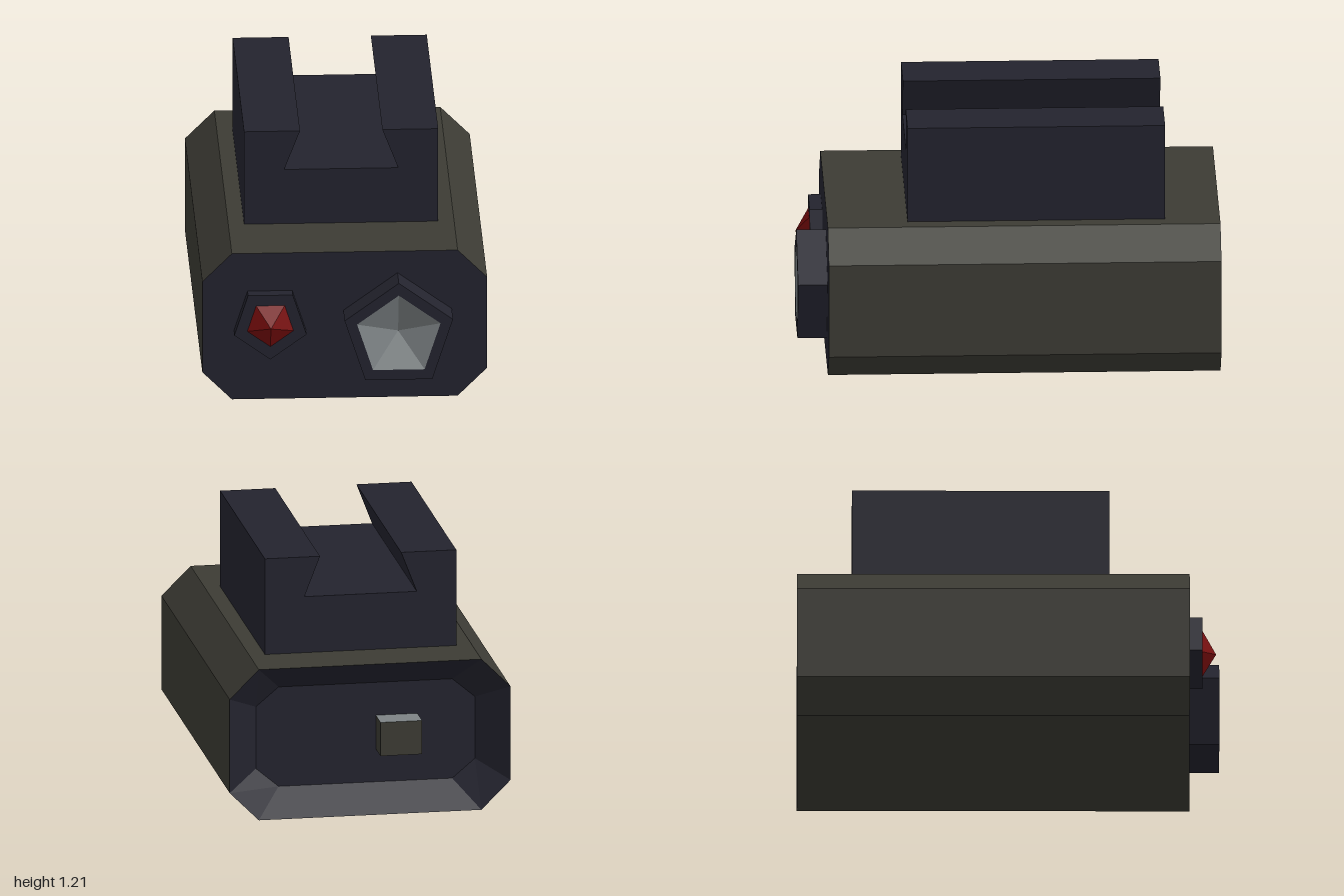
import * as THREE from 'three';

const mat = (name, color, side = THREE.FrontSide) =>
  new THREE.MeshStandardMaterial({ name, color, flatShading: true, side });

// Octagonal body outline, scaled about its middle, counter-clockwise from the front
const MID = 0.37;
const octagon = (sx = 1, sy = 1) =>
  [[0.675, 0.14], [0.675, 0.6], [0.535, 0.74], [-0.535, 0.74],
   [-0.675, 0.6], [-0.675, 0.14], [-0.535, 0], [0.535, 0]]
    .map(([x, y]) => new THREE.Vector2(x * sx, MID + (y - MID) * sy));

// Regular pentagon; dir = 1 points up, -1 points down
const pentagon = (r, dir) => Array.from({ length: 5 }, (_, i) => {
  const a = dir * Math.PI / 2 + i * Math.PI * 2 / 5;
  return new THREE.Vector2(Math.cos(a) * r, Math.sin(a) * r);
});

// Wall of quads between two matching outlines at two depths
function loft(a, za, b, zb) {
  const pos = [];
  a.forEach((p, i) => {
    const j = (i + 1) % a.length;
    const A = [p.x, p.y, za], B = [a[j].x, a[j].y, za];
    const C = [b[j].x, b[j].y, zb], D = [b[i].x, b[i].y, zb];
    pos.push(...A, ...B, ...C, ...A, ...C, ...D);
  });
  const g = new THREE.BufferGeometry();
  g.setAttribute('position', new THREE.Float32BufferAttribute(pos, 3));
  g.computeVertexNormals();
  return g;
}

// Straight extrusion along z from z0 to z1, with an optional hole
function prism(points, z0, z1, hole) {
  const s = new THREE.Shape(points);
  if (hole) s.holes.push(new THREE.Path(hole));
  return new THREE.ExtrudeGeometry(s, { depth: z1 - z0, bevelEnabled: false }).translate(0, 0, z0);
}

export function createModel() {
  const model = new THREE.Group();
  const olive = mat('olive casing', 0x3c3b34);
  const dark = mat('dark polymer', 0x23232e);
  const silver = mat('silver reflector', 0x7d8385, THREE.DoubleSide);
  const red = mat('red lens', 0x7a0d0d);
  const add = (name, geometry, material, parent = model) => {
    const m = new THREE.Mesh(geometry, material);
    m.name = name;
    parent.add(m);
    return m;
  };

  // Casing: olive shell, dark front plate, sloping recess at the back
  const outer = octagon(), inner = octagon(0.78, 0.66);
  const front = 0.86, back = -1, floor = -0.87;
  add('casingShell', loft(outer, back, outer, front), olive);
  add('frontPlate', new THREE.ShapeGeometry(new THREE.Shape(outer)).translate(0, 0, front), dark);
  add('rearRecessWall', loft(inner, floor, outer, back), dark);
  add('rearRecessFloor',
    new THREE.ShapeGeometry(new THREE.Shape(inner)).rotateY(Math.PI).translate(0, 0, floor), dark);

  // Mounting rail with a dovetail slot
  const half = [[0.46, 0.74], [0.46, 1.21], [0.195, 1.21], [0.27, 1.015]];
  const rail = [...half, ...half.map(([x, y]) => [-x, y]).reverse()]
    .map(([x, y]) => new THREE.Vector2(x, y));
  add('mountingRail', prism(rail, -0.74, 0.48), dark);

  // Lamp: pentagonal housing with a sunken reflector
  const lamp = new THREE.Group();
  lamp.name = 'lamp';
  lamp.position.set(0.25, 0.36, 0);
  model.add(lamp);
  add('lampHousing', prism(pentagon(0.27, 1), front, 1, pentagon(0.208, 1)), dark, lamp);
  add('lampReflector',
    new THREE.ConeGeometry(0.208, 0.08, 5, 1, true).rotateX(-Math.PI / 2).translate(0, 0, 0.96),
    silver, lamp);

  // Pointer: smaller pentagon with a pointed red lens
  const pointer = new THREE.Group();
  pointer.name = 'pointer';
  pointer.position.set(-0.355, 0.403, 0);
  model.add(pointer);
  add('pointerHousing', prism(pentagon(0.18, -1), front, 0.92), dark, pointer);
  add('pointerLens',
    new THREE.ConeGeometry(0.115, 0.065, 5, 1, true).rotateX(Math.PI / 2).translate(0, 0, 0.9525),
    red, pointer);

  // Rear switch with silver top and bottom
  add('rearSwitch', new THREE.BoxGeometry(0.2, 0.165, 0.14).translate(-0.15, 0.37, -0.93),
    [olive, olive, silver, silver, olive, olive]);

  return model;
}
